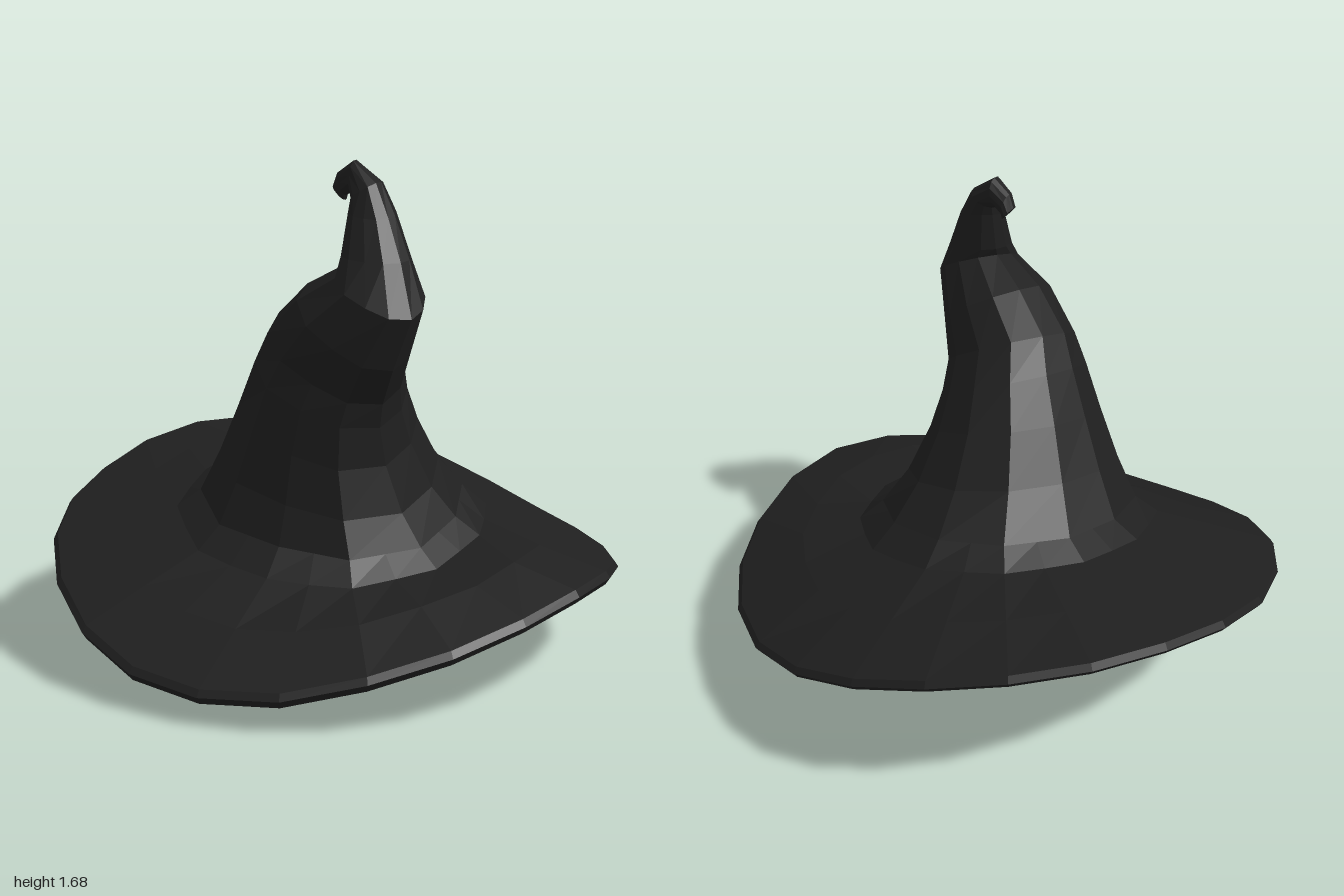
import * as THREE from 'three';

const felt = new THREE.MeshStandardMaterial({ color: 0x1f1f1f, side: THREE.DoubleSide });
felt.name = 'blackFelt';
const silver = new THREE.MeshStandardMaterial({ color: 0xcad8d6 });
silver.name = 'silverHair';

// Flat-shaded skin over a list of equal closed rings, optionally capped at either end
function loft(rings, capStart = false, capEnd = false) {
  const n = rings[0].length, pos = [], idx = [];
  rings.forEach(r => r.forEach(p => pos.push(p.x, p.y, p.z)));
  for (let i = 0; i < rings.length - 1; i++) {
    for (let j = 0; j < n; j++) {
      const a = i * n + j, b = i * n + (j + 1) % n;
      idx.push(a, b, b + n, a, b + n, a + n);
    }
  }
  const cap = (ring, start, flip) => {
    const c = ring.reduce((s, p) => s.add(p), new THREE.Vector3()).divideScalar(n);
    const k = pos.length / 3;
    pos.push(c.x, c.y, c.z);
    for (let j = 0; j < n; j++) {
      const a = start + j, b = start + (j + 1) % n;
      idx.push(...(flip ? [b, a, k] : [a, b, k]));
    }
  };
  if (capStart) cap(rings[0], 0, true);
  if (capEnd) cap(rings[rings.length - 1], (rings.length - 1) * n, false);
  const g = new THREE.BufferGeometry();
  g.setAttribute('position', new THREE.Float32BufferAttribute(pos, 3));
  g.setIndex(idx);
  const flat = g.toNonIndexed();
  flat.computeVertexNormals();
  return flat;
}

function part(name, geometry, material) {
  const m = new THREE.Mesh(geometry, material);
  m.name = name;
  return m;
}

// Tilted crown sections: right x,y | left x,y | back z,y | front z,y
const sections = [
  [-0.42, 0.63, 0.47, 0.50, -0.42, 0.65, 0.50, 0.43],
  [-0.33, 0.78, 0.40, 0.61, -0.29, 0.77, 0.47, 0.56],
  [-0.24, 0.94, 0.345, 0.76, -0.17, 0.93, 0.46, 0.73],
  [-0.16, 1.08, 0.33, 0.87, -0.07, 1.06, 0.46, 0.89],
  [-0.10, 1.18, 0.345, 0.95, 0.03, 1.16, 0.455, 0.98],
  [0.05, 1.285, 0.41, 1.06, 0.13, 1.26, 0.53, 1.11],
  [0.20, 1.35, 0.48, 1.22, 0.26, 1.35, 0.525, 1.24],
  [0.20, 1.40, 0.42, 1.38, 0.26, 1.40, 0.46, 1.37],
  [0.205, 1.54, 0.355, 1.52, 0.25, 1.54, 0.40, 1.50],
  [0.205, 1.57, 0.30, 1.62, 0.245, 1.60, 0.37, 1.59],
  [0.185, 1.59, 0.20, 1.69, 0.23, 1.64, 0.32, 1.64],
  [0.155, 1.575, 0.13, 1.65, 0.22, 1.615, 0.29, 1.615],
  [0.15, 1.56, 0.11, 1.605, 0.22, 1.585, 0.28, 1.585],
];

// Point on a section: an ellipse with squarer corners at the front
function sectionPoint([xl, yl, xr, yr, zb, yb, zf, yf], angle) {
  const corner = Math.cos(angle) > 0 ? 1 + 0.1 * Math.sin(2 * angle) ** 2 : 1;
  const s = Math.sin(angle) * corner, c = Math.cos(angle) * corner;
  return new THREE.Vector3(
    (xl + xr) / 2 + s * (xr - xl) / 2,
    (yl + yr + yb + yf) / 4 + s * (yr - yl) / 2 + c * (yf - yb) / 2,
    (zb + zf) / 2 + c * (zf - zb) / 2);
}

const ringOf = (n, fn) => Array.from({ length: n }, (_, j) => fn(j / n * Math.PI * 2, j));

// Height of the wavy rim every 15 degrees, from the front round by the model's left
const rimHeights = [0.07, 0.085, 0.14, 0.20, 0.26, 0.30, 0.30, 0.27, 0.255, 0.26, 0.29, 0.36,
  0.45, 0.53, 0.58, 0.60, 0.595, 0.55, 0.48, 0.42, 0.35, 0.26, 0.165, 0.095];

function brimGeometry() {
  const ring = (t, lift, radius = 1, sag = 0) => ringOf(24, (a, j) => {
    // the inner edge follows the crown's twelve sides so the two meet without gaps
    const step = Math.PI / 12;
    const inner = j % 2 === 0 ? sectionPoint(sections[0], a)
      : sectionPoint(sections[0], a - step).lerp(sectionPoint(sections[0], a + step), 0.5);
    const outer = new THREE.Vector3(Math.sin(a) * radius, rimHeights[j] + 0.045, Math.cos(a) * radius);
    const p = inner.lerp(outer, t);
    p.y += lift - sag * (1 - Math.max(0, Math.sin(a)));
    return p;
  });
  // underside outwards, round the rim, then back over the top
  return loft([ring(0, -0.045), ring(0.16, -0.08), ring(0.55, -0.045, 1, 0.025), ring(1, -0.045, 0.985),
    ring(1, -0.022), ring(1, 0, 0.985), ring(0.55, 0.005, 1, 0.025), ring(0.16, -0.035), ring(0, 0)]);
}

// Small seeded random source for the hair
let seed = 7;
const rand = () => (seed = (seed * 16807) % 2147483647) / 2147483647;

// Height of the lock ends every 15 degrees, from the front round by the model's left
const hairline = [0.005, 0.005, 0.005, 0.02, 0.04, 0.06, 0.15, 0.16, 0.08, 0.06, 0.14, 0.26,
  0.32, 0.3, 0.2, 0.04, 0.05, 0.08, 0.1, 0.09, 0.07, 0.04, 0.015, 0.01];

function hairlineAt(angle) {
  const f = angle / (Math.PI / 12), i = Math.floor(f);
  return THREE.MathUtils.lerp(hairline[i % 24], hairline[(i + 1) % 24], f - i);
}

// One lock hanging from inside the hat and curling inwards at its end
function lockGeometry({ angle, scale, top, bottom, width, tip, curl, sway }) {
  const path = [[0, 0.92, 0.7], [0.3, 0.97, 1], [0.7, 1.01, 1],
    [0.88, 1.01 - curl * 0.35, (1 + tip) / 2], [1, 1.01 - curl, tip]];
  const rings = path.map(([t, r, w]) => {
    const a = angle + sway * t * t;
    const out = new THREE.Vector3(Math.sin(a), 0, Math.cos(a));
    const side = new THREE.Vector3(Math.cos(a), 0, -Math.sin(a)).multiplyScalar(width * w);
    const c = new THREE.Vector3(0.01 + out.x * 0.43 * r * scale, top + (bottom - top) * t, 0.05 + out.z * 0.45 * r * scale);
    const thick = out.clone().multiplyScalar(0.025 * w);
    return [c.clone().add(thick), c.clone().sub(side).addScaledVector(thick, -0.3),
      c.clone().sub(thick), c.clone().add(side).addScaledVector(thick, -0.3)];
  });
  return loft(rings, true, true);
}

function createHair() {
  const hair = new THREE.Group();
  hair.name = 'hair';
  // an outer layer and a slightly shorter inner one
  for (const [count, scale, raise, offset] of [[22, 1, 0, 0.05], [16, 0.9, 0.025, 0.2]]) {
    for (let k = 0; k < count; k++) {
      const angle = offset + k / count * Math.PI * 2;
      const c = Math.cos(angle);
      const front = c > 0.2;
      hair.add(part('hairLock', lockGeometry({
        angle, scale,
        top: 0.49 - 0.09 * c - 0.03 * Math.sin(angle),
        bottom: hairlineAt(angle) + raise + rand() * (front ? 0.025 : 0.04),
        width: 0.066 + rand() * 0.024,
        tip: front ? 0.55 : 0.12,
        curl: front ? 0.03 + rand() * 0.2 : 0.03 + rand() * 0.1,
        sway: (rand() - 0.5) * (front ? 0.2 : 0.4),
      }), silver));
    }
  }
  return hair;
}

export function createModel() {
  const model = new THREE.Group();
  model.name = 'pointedHatWithHair';
  const crownRings = sections.map(s => ringOf(12, a => sectionPoint(s, a)));
  model.add(
    part('brim', brimGeometry(), felt),
    part('crown', loft(crownRings, false, true), felt),
    createHair());
  return model;
}
